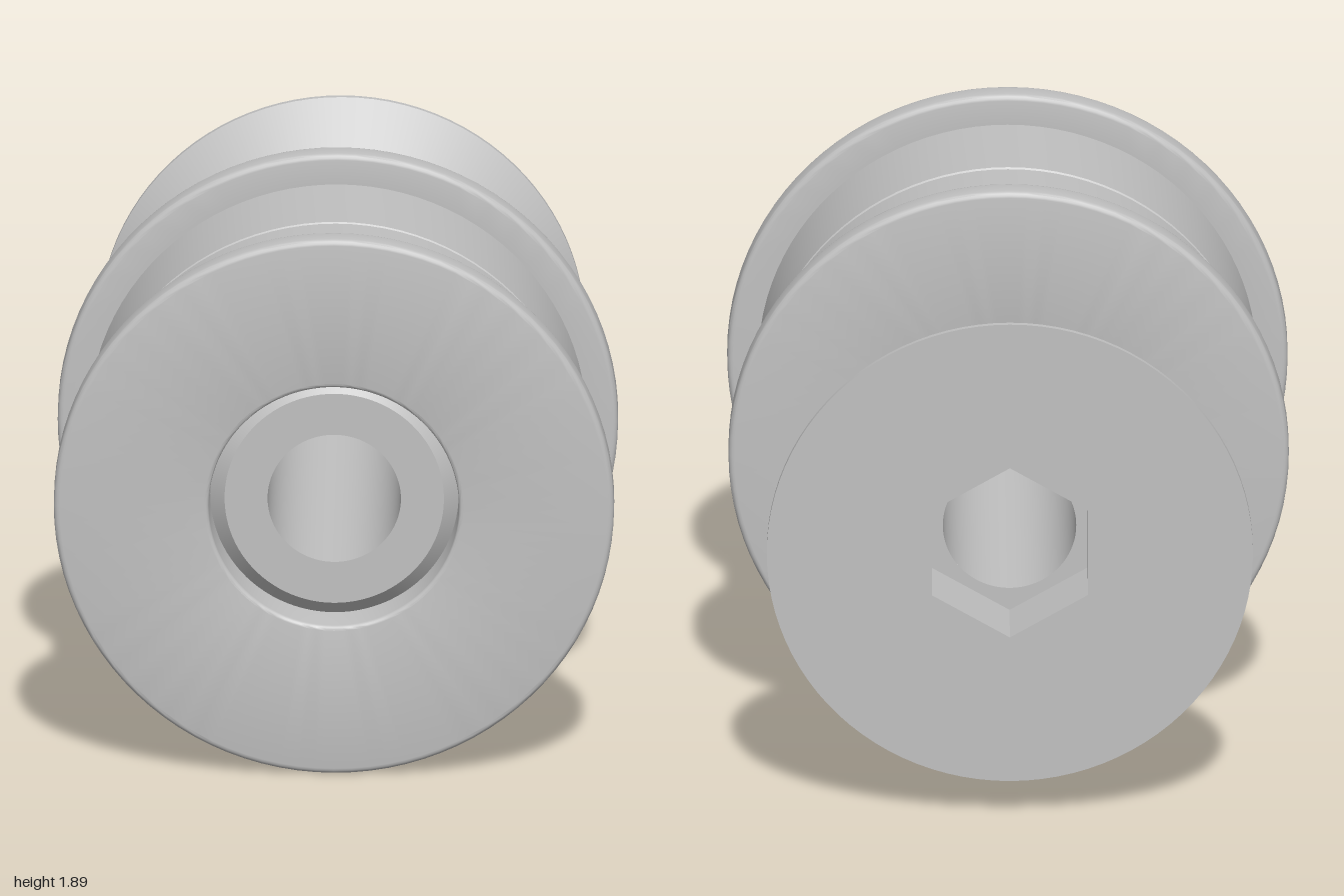
import * as THREE from 'three';
import { toCreasedNormals } from 'three/addons/utils/BufferGeometryUtils.js';

const AXIS_Y = 0.945;   // height of the common axis
const SEGMENTS = 96;

const steel = new THREE.MeshStandardMaterial({ color: 0xc0c0c0 });
steel.name = 'grey metal';

// Rounded corner: points on a quarter arc around (r, z), angles in quarter turns
function corner(r, z, radius, fromQuarter) {
  const points = [];
  for (let i = 0; i <= 4; i++) {
    const a = (fromQuarter + i / 4) * Math.PI / 2;
    points.push([r + radius * Math.cos(a), z + radius * Math.sin(a)]);
  }
  return points;
}

// Turned part around the z axis from [radius, z] points
function turned(profile) {
  const lathe = new THREE.LatheGeometry(profile.map(([r, z]) => new THREE.Vector2(r, z)), SEGMENTS);
  lathe.rotateX(Math.PI / 2);
  return toCreasedNormals(lathe, 0.5);
}

function hexagon(PathType) {
  const path = new PathType();
  for (let i = 0; i < 6; i++) {
    const a = Math.PI / 2 + i * Math.PI / 3;
    path[i ? 'lineTo' : 'moveTo'](0.304 * Math.cos(a), 0.304 * Math.sin(a));
  }
  path.closePath();
  return path;
}

function part(name, geometry) {
  const mesh = new THREE.Mesh(geometry, steel);
  mesh.name = name;
  return mesh;
}

export function createModel() {
  const model = new THREE.Group();
  model.name = 'flangedRoller';

  // Two mirrored roller halves, each with a flange and a chamfer at the joint
  const half = turned([
    [0.422, 0], [0.83, 0], [0.84, 0.01], [0.84, 0.425],
    ...corner(0.925, 0.445, 0.02, -1),
    ...corner(0.925, 0.505, 0.02, 0),
    ...corner(0.437, 0.51, 0.015, 1),
    [0.422, 0],
  ]);
  for (const side of [1, -1]) {
    const mesh = part(side > 0 ? 'frontRollerHalf' : 'backRollerHalf', half);
    mesh.position.set(0, AXIS_Y, 0.475);
    if (side < 0) mesh.rotation.y = Math.PI;
    model.add(mesh);
  }

  // Hollow countersunk bolt
  const bolt = new THREE.Group();
  bolt.name = 'bolt';
  bolt.position.y = AXIS_Y;
  bolt.add(part('boltBody', turned([
    [0.5, -1], [0.82, -1], [0.82, -0.98], [0.419, -0.58], [0.419, 0.85],
    [0.37, 0.9], [0.225, 0.9], [0.225, -0.73],
  ])));

  // Hexagonal socket walls in the head
  const disc = new THREE.Shape().absarc(0, 0, 0.5, 0, Math.PI * 2);
  disc.holes.push(hexagon(THREE.Path));
  const walls = new THREE.ExtrudeGeometry(disc, { depth: 0.27, bevelEnabled: false, curveSegments: SEGMENTS });
  walls.translate(0, 0, -1);
  bolt.add(part('hexSocket', walls));

  // Socket floor, open to the bore
  const floorShape = hexagon(THREE.Shape);
  floorShape.holes.push(new THREE.Path().absarc(0, 0, 0.225, 0, Math.PI * 2, true));
  const floor = new THREE.ShapeGeometry(floorShape, SEGMENTS);
  floor.rotateY(Math.PI).translate(0, 0, -0.73);
  bolt.add(part('socketFloor', floor));

  model.add(bolt);
  return model;
}
